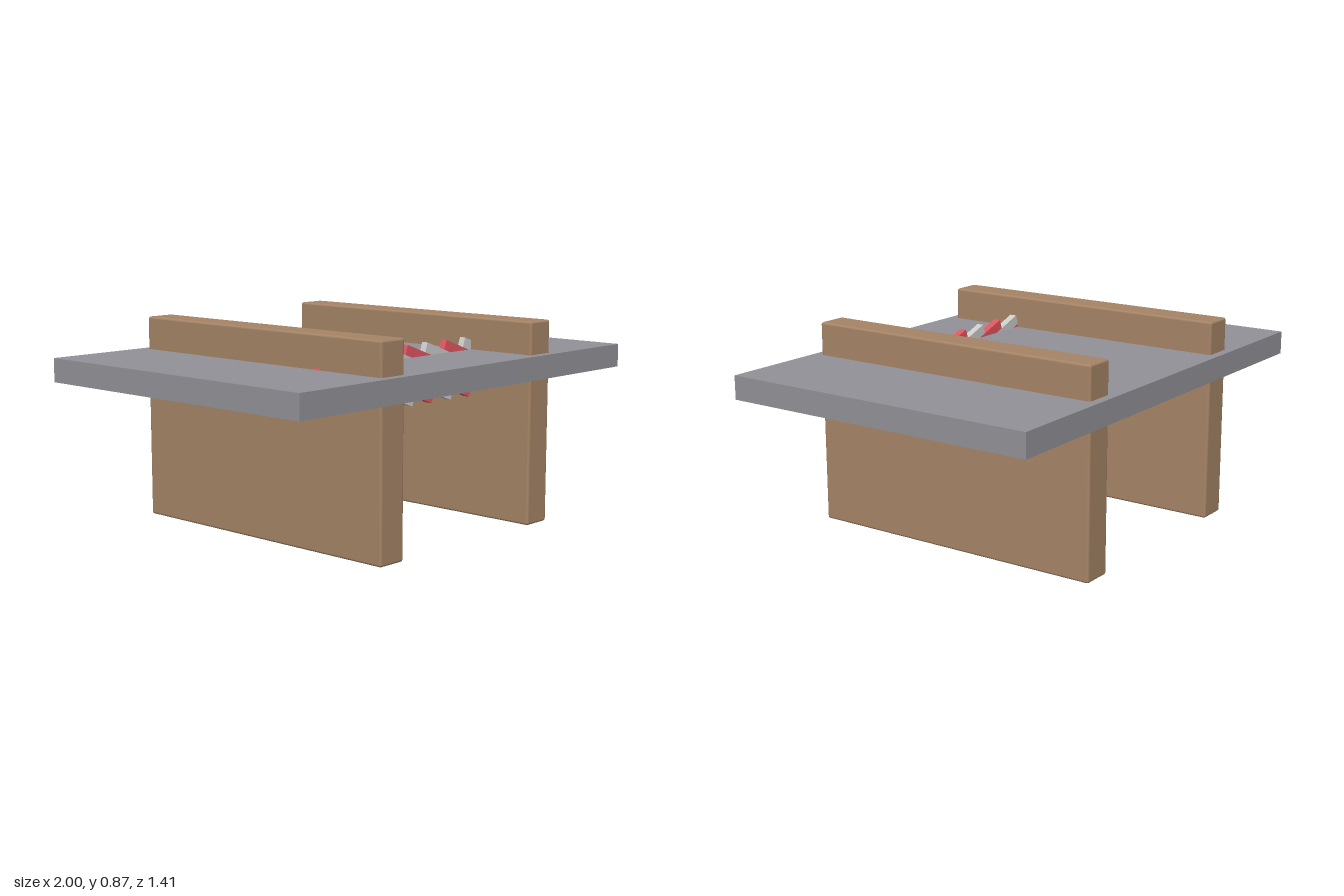
import * as THREE from 'three';
import { RoundedBoxGeometry } from 'three/addons/geometries/RoundedBoxGeometry.js';

const paint = (color) => new THREE.MeshStandardMaterial({ color });
const wood = paint(0xa58466);
const slate = paint(0x929197);
const red = paint(0xe05560);
const grey = paint(0xcccccc);

export function createModel() {
  const model = new THREE.Group();
  const add = (name, geometry, material, x, y, z, tilt = 0) => {
    const mesh = new THREE.Mesh(geometry, material);
    mesh.name = name;
    mesh.position.set(x, y, z);
    mesh.rotation.z = tilt;
    model.add(mesh);
    return mesh;
  };

  // Flat deck pierced by the two upright panels
  add('deck', new THREE.BoxGeometry(2, 0.1, 1.415), slate, 0, 0.675, 0);

  // Tall bevelled side panels
  for (const side of [-1, 1]) {
    add(side > 0 ? 'leftPanel' : 'rightPanel',
      new RoundedBoxGeometry(0.132, 0.865, 1.34, 2, 0.01), wood, side * 0.466, 0.4325, 0);
  }

  // Striped bar: overlapping tilted slats, each a hair thinner than the last
  for (let i = 0; i < 8; i++) {
    const slat = new THREE.BoxGeometry(0.234, 0.19, 0.032 - i * 0.0005);
    add('barSlat' + (i + 1), slat, i % 2 ? grey : red, (i - 3.5) * 0.125, 0.65, 0.34, -0.349);
  }

  // Small stud on the front of the bar
  add('stud', new RoundedBoxGeometry(0.05, 0.06, 0.04, 2, 0.006), grey, -0.025, 0.59, 0.365);

  return model;
}
